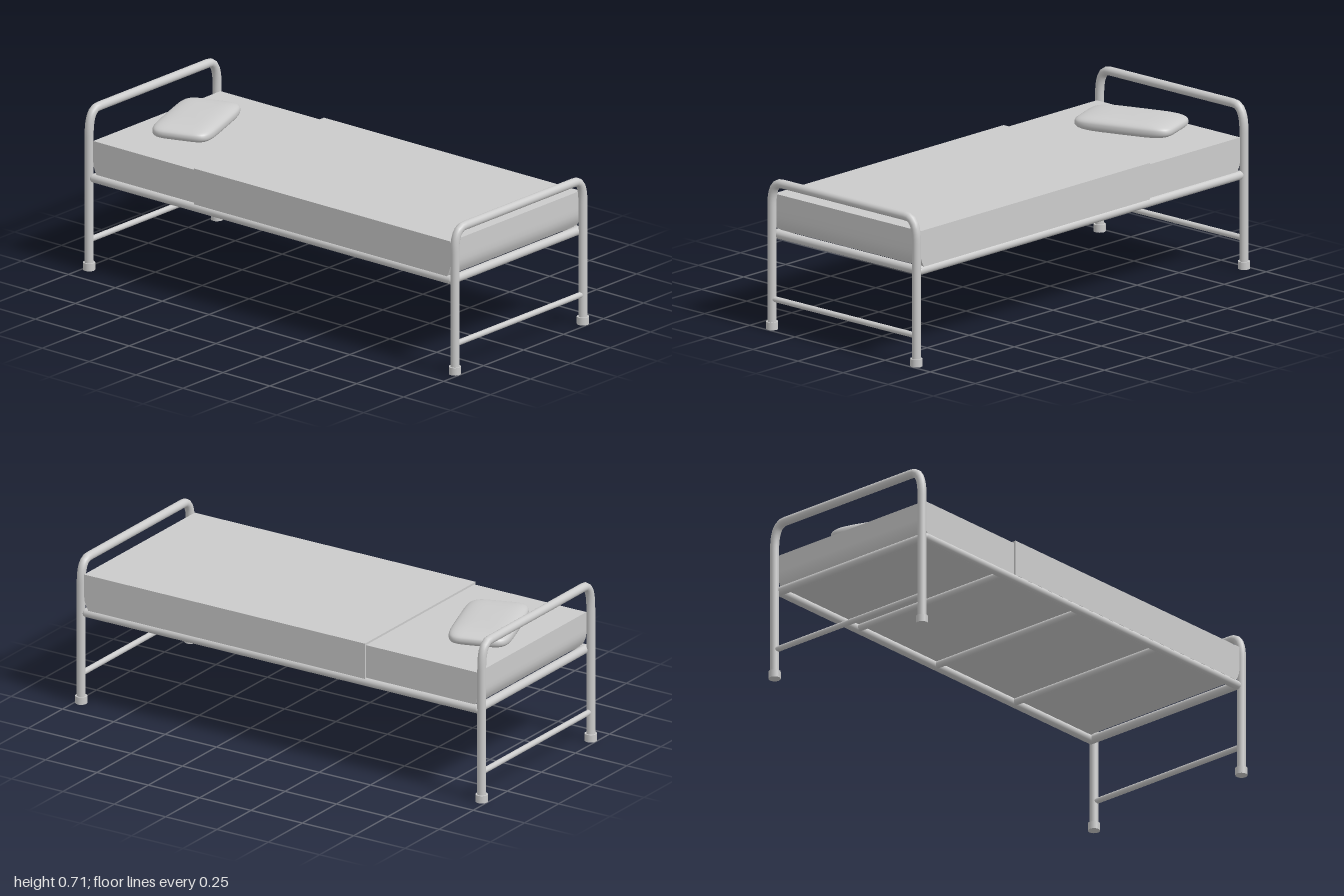
import * as THREE from 'three';
import { mergeVertices, toCreasedNormals } from 'three/addons/utils/BufferGeometryUtils.js';

const material = new THREE.MeshStandardMaterial({ color: 0xcccccc });
const v = (x, y, z) => new THREE.Vector3(x, y, z);

function add(parent, name, geometry) {
  const mesh = new THREE.Mesh(geometry, material);
  mesh.name = name;
  parent.add(mesh);
  return mesh;
}

// Straight round bar between two points
function bar(parent, name, a, b, radius) {
  const dir = b.clone().sub(a);
  const mesh = add(parent, name, new THREE.CylinderGeometry(radius, radius, dir.length(), 16));
  mesh.position.copy(a).add(b).multiplyScalar(0.5);
  mesh.quaternion.setFromUnitVectors(v(0, 1, 0), dir.normalize());
}

// Bent tube frame with legs, feet and a low brace
function endFrame(name, z, top, bendStart) {
  const group = new THREE.Group();
  group.name = name;
  const x = 0.4, inner = 0.345;
  const path = new THREE.CurvePath();
  path.add(new THREE.LineCurve3(v(-x, 0, 0), v(-x, bendStart, 0)));
  path.add(new THREE.QuadraticBezierCurve3(v(-x, bendStart, 0), v(-x, top, 0), v(-inner, top, 0)));
  path.add(new THREE.LineCurve3(v(-inner, top, 0), v(inner, top, 0)));
  path.add(new THREE.QuadraticBezierCurve3(v(inner, top, 0), v(x, top, 0), v(x, bendStart, 0)));
  path.add(new THREE.LineCurve3(v(x, bendStart, 0), v(x, 0, 0)));
  add(group, 'bentTube', new THREE.TubeGeometry(path, 100, 0.0185, 16));
  for (const side of [-1, 1]) {
    const foot = add(group, 'foot', new THREE.CylinderGeometry(0.025, 0.025, 0.032, 16));
    foot.position.set(side * x, 0.016, 0);
  }
  bar(group, 'lowerBrace', v(-x, 0.128, 0), v(x, 0.128, 0), 0.012);
  group.position.z = z;
  return group;
}

// Box whose lower ends curve inward
function paddedBox(width, y0, y1, z0, z1, tuckBack, tuckFront) {
  const height = y1 - y0;
  const geo = new THREE.BoxGeometry(width, height, z1 - z0, 4, 8, 8);
  geo.translate(0, (y0 + y1) / 2, (z0 + z1) / 2);
  const p = geo.attributes.position;
  for (let i = 0; i < p.count; i++) {
    const low = Math.max(0, 1 - (p.getY(i) - y0) / (height * 0.4));
    const z = p.getZ(i);
    if (z > z1 - 1e-4) p.setZ(i, z - tuckFront * low * low);
    if (z < z0 + 1e-4) p.setZ(i, z + tuckBack * low * low);
  }
  return toCreasedNormals(geo, 0.6);
}

// Soft rounded cushion made by squaring off a sphere
function cushion(a, h, c) {
  const geo = new THREE.SphereGeometry(1, 48, 24);
  geo.deleteAttribute('uv');
  geo.deleteAttribute('normal');
  const p = geo.attributes.position;
  const pow = (t, e) => Math.sign(t) * Math.pow(Math.abs(t), e);
  for (let i = 0; i < p.count; i++) {
    const y = p.getY(i);
    const r = Math.sqrt(Math.max(0, 1 - y * y));
    const cos = r > 1e-5 ? p.getX(i) / r : 0;
    const sin = r > 1e-5 ? p.getZ(i) / r : 0;
    const plan = Math.pow(r < 1e-5 ? 0 : r, 0.55);
    p.setXYZ(i, a * plan * pow(cos, 0.36), h * pow(y, 0.75), c * plan * pow(sin, 0.36));
  }
  const merged = mergeVertices(geo, 1e-5);
  merged.computeVertexNormals();
  return merged;
}

export function createModel() {
  const bed = new THREE.Group();
  bed.name = 'bed';

  bed.add(endFrame('footboard', 0.975, 0.622, 0.53));
  bed.add(endFrame('headboard', -0.975, 0.687, 0.58));

  // Base frame with evenly spaced slats
  const base = new THREE.Group();
  base.name = 'baseFrame';
  bed.add(base);
  const y = 0.397, x = 0.395, z = 0.952, r = 0.0185;
  for (const s of [-1, 1]) {
    bar(base, 'sideRail', v(s * x, y, -z), v(s * x, y, z), r);
    bar(base, 'endRail', v(-x, y, s * z), v(x, y, s * z), r);
    for (const e of [-1, 1]) {
      add(base, 'railCorner', new THREE.SphereGeometry(r, 16, 10)).position.set(s * x, y, e * z);
    }
  }
  for (const k of [-1, 0, 1]) {
    bar(base, 'crossBar', v(-x, y, k * z / 2), v(x, y, k * z / 2), 0.015);
  }

  // Bedding
  add(bed, 'mattress', paddedBox(0.796, 0.41, 0.557, -0.955, 0.94, 0.02, 0.02));
  add(bed, 'blanket', paddedBox(0.812, 0.412, 0.566, -0.41, 0.957, 0, 0.02));
  const pillow = add(bed, 'pillow', cushion(0.218, 0.035, 0.132));
  pillow.position.set(-0.005, 0.591, -0.74);
  pillow.rotation.y = 0.34;

  return bed;
}
